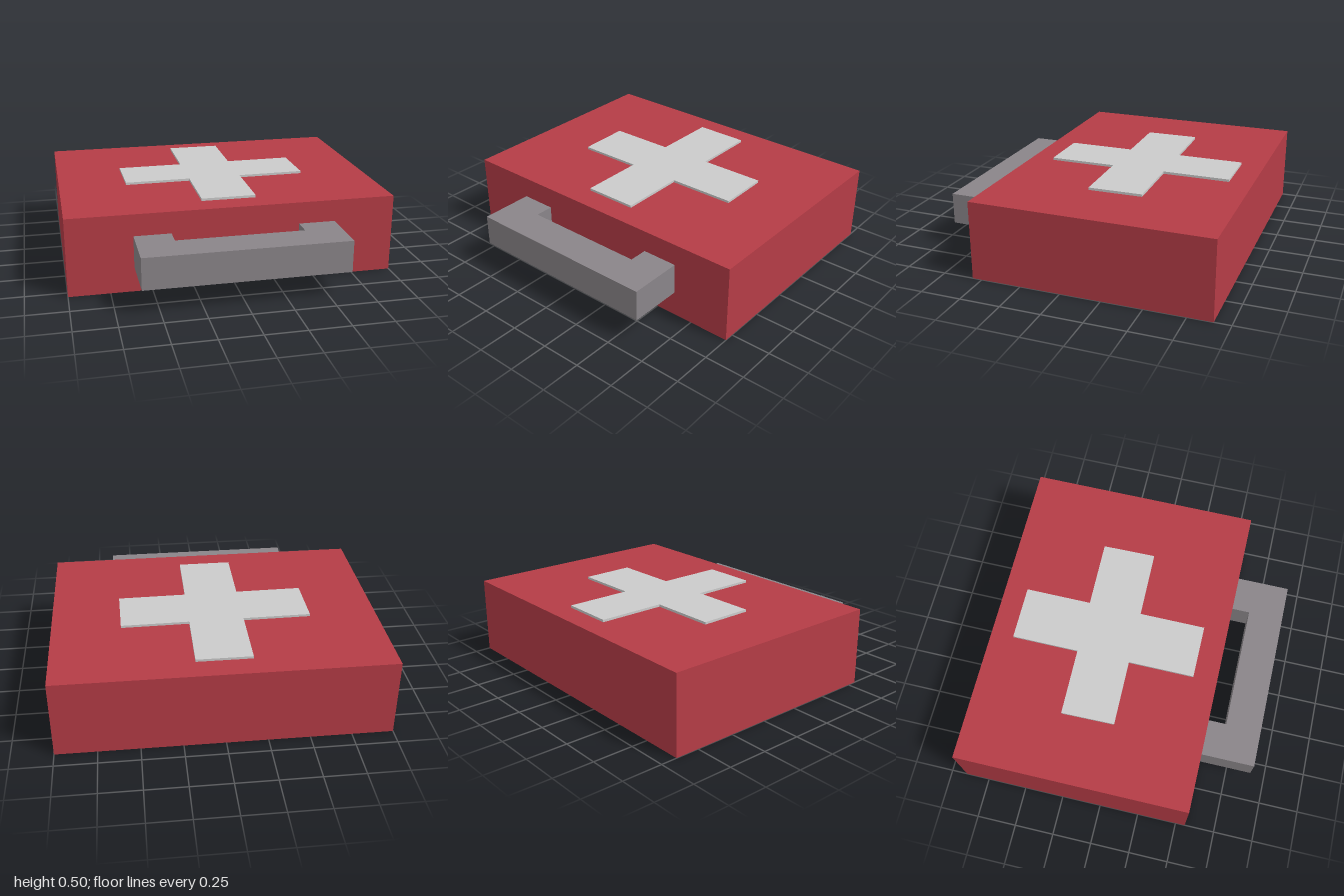
import * as THREE from 'three';

// Flat plate from an [x, z] outline, its upper face at height top
function plate(name, outline, top, thickness, color) {
  const shape = new THREE.Shape(outline.map(([x, z]) => new THREE.Vector2(x, z)));
  const geometry = new THREE.ExtrudeGeometry(shape, { depth: thickness, bevelEnabled: false });
  geometry.rotateX(Math.PI / 2);
  const mesh = new THREE.Mesh(geometry, new THREE.MeshStandardMaterial({ color }));
  mesh.name = name;
  mesh.position.y = top;
  return mesh;
}

export function createModel() {
  const group = new THREE.Group();
  group.name = 'firstAidCase';

  // Closed box body
  const body = new THREE.Mesh(
    new THREE.BoxGeometry(2, 0.485, 1.46),
    new THREE.MeshStandardMaterial({ color: 0xb53c46 })
  );
  body.name = 'caseBody';
  body.position.set(0, 0.2425, -0.17);
  group.add(body);

  // Raised cross on the lid, its side arms very slightly tilted
  group.add(plate('lidCross', [
    [-0.17, -0.755], [0.165, -0.755], [0.165, -0.34], [0.58, -0.345],
    [0.585, -0.012], [0.165, -0.006], [0.165, 0.41], [-0.17, 0.41],
    [-0.17, -0.003], [-0.58, 0.002], [-0.585, -0.33], [-0.17, -0.335],
  ], 0.5, 0.02, 0xcccccc));

  // U-shaped carrying handle on the front
  group.add(plate('handle', [
    [-0.605, 0.555], [-0.38, 0.555], [-0.38, 0.675], [0.4, 0.675],
    [0.4, 0.555], [0.625, 0.555], [0.625, 0.895], [-0.605, 0.895],
  ], 0.35, 0.195, 0x8a8589));

  return group;
}
